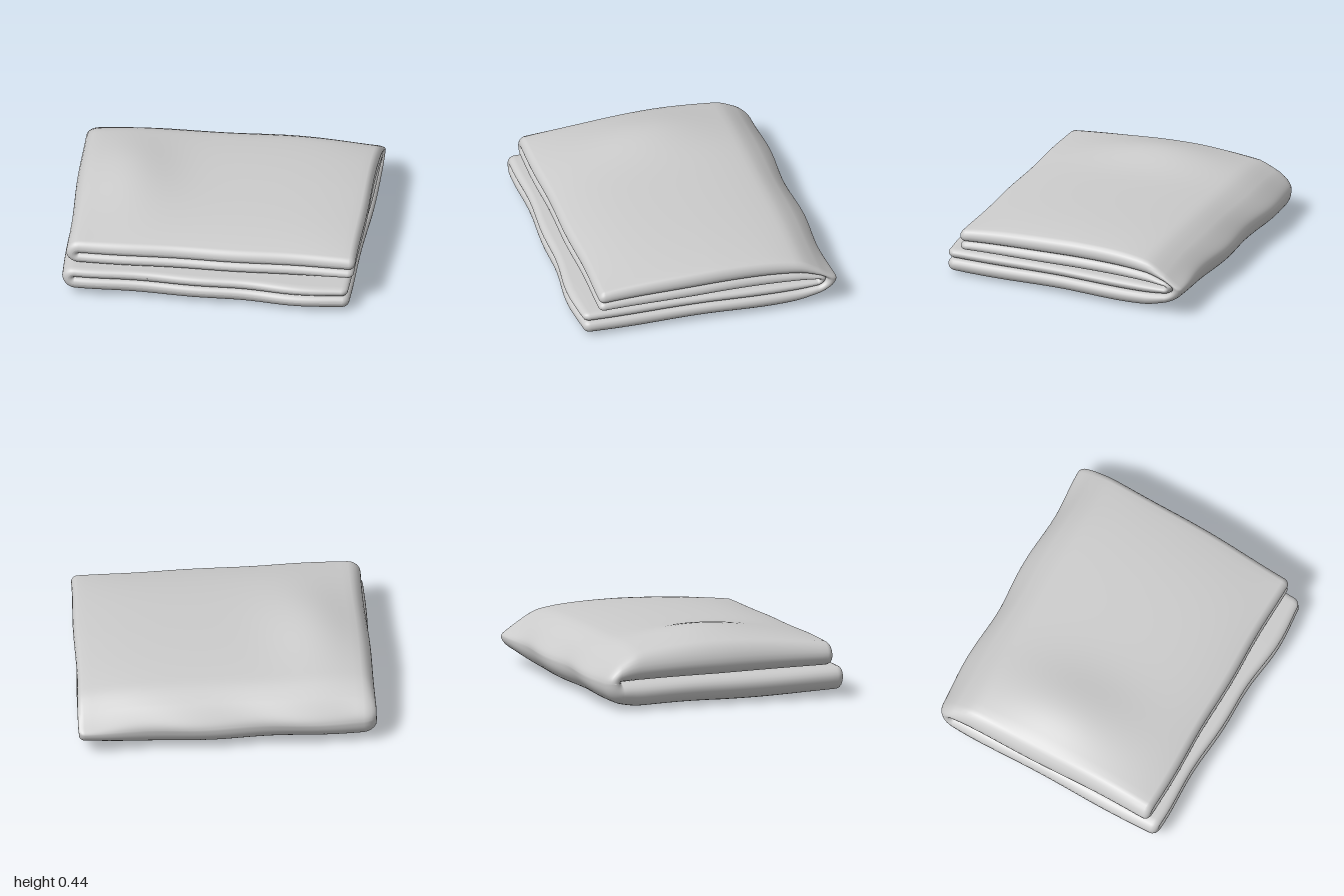
import * as THREE from 'three';

const W = 0.9, D = 0.75;            // half width and half depth of the unwarped stack
const PLY = 0.039, GAP = 0.04;      // half thickness of a ply, offset of its centre
const FOLD = 0.09, MID = 0.185;     // radius and height of the back fold
const SQUASH = 0.65;                // the back fold is pressed flat in depth
const THICKER = 0.012;              // how far the outer ply gains on the inner one

// Plan corners [x, z] of the stack; the lower half reaches further forward
const BACK = [[-0.81, -0.885], [1.0, -0.675]];
const FRONT_TOP = [[-0.975, 0.585], [0.775, 0.785]];
const FRONT_LOW = [[-1.005, 0.635], [0.73, 0.875]];

const { lerp, smoothstep } = THREE.MathUtils;
const steps = (n, a, b, f) => Array.from({ length: n }, (_, i) => f(lerp(a, b, i / n)));

// Closed outline of a sheet doubled over at -x: centre line point plus offset direction
function doubledOutline() {
  const xl = -W + GAP + PLY, xr = W - PLY, PI = Math.PI;
  const run = (from, to, d, n) => steps(36, from, to, x => ({ x, d, nx: 0, nd: n }));
  const cap = (x, d) => steps(8, PI / 2, -PI / 2, a => ({ x, d, nx: Math.cos(a), nd: Math.sin(a) }));
  const bend = (a0, a1, side) => steps(10, a0, a1, a => ({
    x: xl + GAP * Math.cos(a), d: GAP * Math.sin(a), nx: side * Math.cos(a), nd: side * Math.sin(a) }));
  return [
    ...run(xl, xr, GAP, 1), ...cap(xr, GAP), ...run(xr, xl, GAP, -1),
    ...bend(PI / 2, PI * 1.5, -1),
    ...run(xl, xr, -GAP, 1), ...cap(xr - 0.008, -GAP), ...run(xr - 0.008, xl, -GAP, -1),
    ...bend(PI * 1.5, PI / 2, 1),
  ];
}

// Path from the upper front edge, round the back fold, to the lower front edge
function foldPath() {
  const zb = -D + SQUASH * (FOLD + GAP + PLY), zf = D - PLY;
  const leg = [
    ...steps(8, 0, Math.PI / 2, a => ({ z: zf + PLY * Math.cos(a), h: PLY * Math.sin(a) })),
    ...steps(36, zf, zb, z => ({ z, h: PLY })),
  ];
  const flat = (p, s) => ({ z: p.z, y: MID + s * FOLD, nz: 0, ny: s, h: p.h, t: s > 0 ? 0 : 1 });
  const arc = steps(28, 0, Math.PI, a => ({
    z: zb - SQUASH * FOLD * Math.sin(a), y: MID + FOLD * Math.cos(a),
    nz: -SQUASH * Math.sin(a), ny: Math.cos(a), h: PLY, t: (1 - Math.cos(a)) / 2 }));
  const end = { z: zb, h: PLY };
  return [...leg.map(p => flat(p, 1)), ...arc, flat(end, -1), ...leg.reverse().map(p => flat(p, -1))];
}

// Skews the neat stack into its plan, plumps it up and adds soft creases
function relax(x, y, z, t) {
  const u = (x / W + 1) / 2, v = (z / D + 1) / 2;
  const plan = i => lerp(
    lerp(BACK[0][i], BACK[1][i], u),
    lerp(lerp(FRONT_TOP[0][i], FRONT_TOP[1][i], u), lerp(FRONT_LOW[0][i], FRONT_LOW[1][i], u), t), v);
  let px = plan(0), pz = plan(1);
  const X = x / W, Z = z / D;
  // wavy hems, strongest along the back fold and the lower front
  const wave = Z < 0 ? 0.01 : lerp(0.004, 0.008, t);
  pz += wave * Math.sin(px * 9 + 1.2 + t * 2) * Math.pow(Math.abs(Z), 6);
  pz += 0.025 * t * Math.max(0, Z) ** 6 * Math.exp(-((px - 0.35) ** 2) / 0.06);
  px += 0.004 * Math.sin(pz * 7 + t * 2.5) * Math.pow(Math.abs(X), 6);

  // domed padding, a soft bump left of centre, tapering to the back fold
  const pad = (1 - X ** 4) * (1 - Z ** 4);
  const bump = Math.exp(-((px + 0.56) ** 2 / 0.06 + (pz + 0.13) ** 2 / 0.16));
  const corner = Math.exp(-((X - 1) ** 2 + (Z + 1) ** 2) / 0.1);
  const taper = smoothstep(-Z, 0.68, 1);
  // the two halves press together except along the open right edge
  const press = 0.009 * (1 - smoothstep(X, 0.5, 1));
  let up = y - MID;
  up -= Math.sign(up) * press * Math.exp(-((up / 0.03) ** 2));
  const k = up > 0
    ? 0.84 + 0.2 * (1 - Z * Z) + 0.22 * pad + 0.33 * bump - 0.4 * taper - 0.2 * corner
    : 0.88 + 0.14 * pad + 0.02 * Math.sin(px * 6) * Math.sin(pz * 7 + 1) - 0.2 * taper - 0.18 * corner;
  // the middle plane dips towards the front right and the back
  const sag = 0.012 * X * Math.max(0, Z) + 0.012 * Math.max(0, -Z) ** 2;
  return [px, MID + up * k - sag, pz];
}

function clothGeometry() {
  const ring = doubledOutline(), path = foldPath(), n = ring.length;
  const pos = [], idx = [];
  path.forEach((p, s) => ring.forEach((r, i) => {
    const flat = r.d + r.nd * p.h;
    const d = flat - THICKER * (1 - (flat / (GAP + PLY)) ** 2);
    pos.push(...relax(r.x + r.nx * p.h, p.y + p.ny * d, p.z + p.nz * d, p.t));
    if (s === path.length - 1) return;
    const a = s * n + i, b = s * n + (i + 1) % n;
    idx.push(a, b, a + n, b, b + n, a + n);
  }));
  const g = new THREE.BufferGeometry();
  g.setAttribute('position', new THREE.Float32BufferAttribute(pos, 3));
  g.setIndex(idx);
  g.computeVertexNormals();
  // rest on the ground
  g.computeBoundingBox();
  g.translate(0, -g.boundingBox.min.y, 0);
  return g;
}

export function createModel() {
  const group = new THREE.Group();
  group.name = 'foldedBlanket';
  const material = new THREE.MeshStandardMaterial({ color: 0xcccccc, roughness: 0.9, side: THREE.DoubleSide });
  const cloth = new THREE.Mesh(clothGeometry(), material);
  cloth.name = 'foldedCloth';
  group.add(cloth);
  return group;
}
